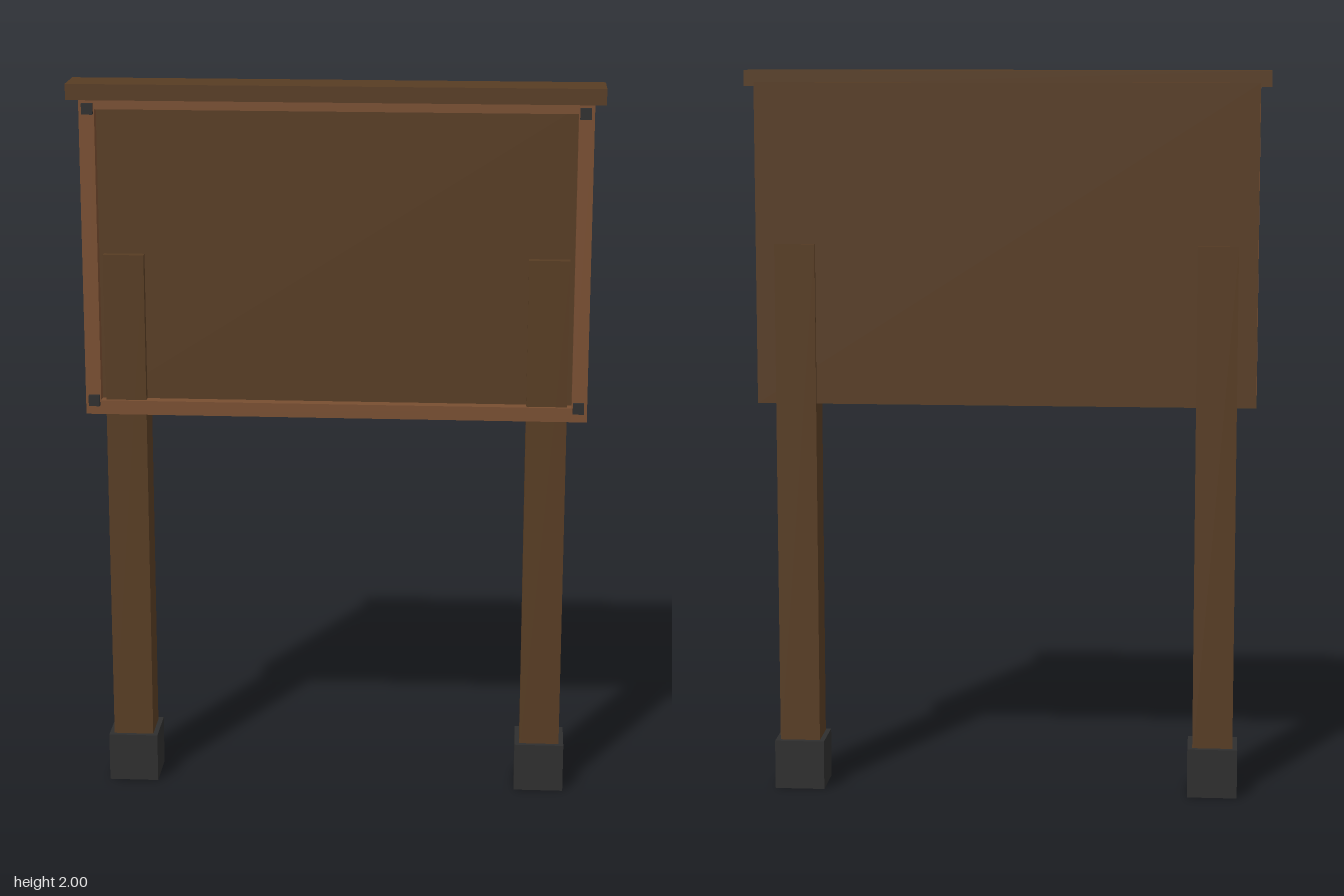
import * as THREE from 'three';

const mat = (name, color) => {
  const m = new THREE.MeshStandardMaterial({ color });
  m.name = name;
  return m;
};

export function createModel() {
  const group = new THREE.Group();
  const darkWood = mat('dark wood', 0x573c23);
  const trimWood = mat('trim wood', 0x784e31);
  const iron = mat('dark iron', 0x2e2e2e);

  // Box given by its lower and upper bounds on each axis
  const box = (name, material, [x0, x1], [y0, y1], [z0, z1]) => {
    const mesh = new THREE.Mesh(new THREE.BoxGeometry(x1 - x0, y1 - y0, z1 - z0), material);
    mesh.position.set((x0 + x1) / 2, (y0 + y1) / 2, (z0 + z1) / 2);
    mesh.name = name;
    group.add(mesh);
  };
  const span = (center, size) => [center - size / 2, center + size / 2];

  // Board and overhanging cap
  box('boardPanel', darkWood, [-0.685, 0.685], [1.09, 1.968], [-0.06, 0.02]);
  box('topCap', darkWood, [-0.716, 0.716], [1.957, 2], [-0.039, 0.086]);

  // Frame rails across the front
  const frameZ = [0.02, 0.052];
  box('topRail', trimWood, [-0.645, 0.645], [1.928, 1.957], frameZ);
  box('bottomRail', trimWood, [-0.645, 0.645], [1.085, 1.124], frameZ);

  for (const side of [-1, 1]) {
    // Frame stile with a bolt at each end
    box('frameStile', trimWood, span(side * 0.666, 0.042), [1.085, 1.957], frameZ);
    for (const y of [1.125, 1.93]) {
      box('cornerBolt', iron, span(side * 0.663, 0.03), span(y, 0.03), [0.05, 0.064]);
    }
    // Post standing in its footing
    box('post', darkWood, span(side * 0.577, 0.111), [0.1, 1.53], [-0.07, 0.042]);
    box('postFooting', iron, span(side * 0.577, 0.138), [0, 0.137], [-0.086, 0.055]);
  }
  return group;
}
